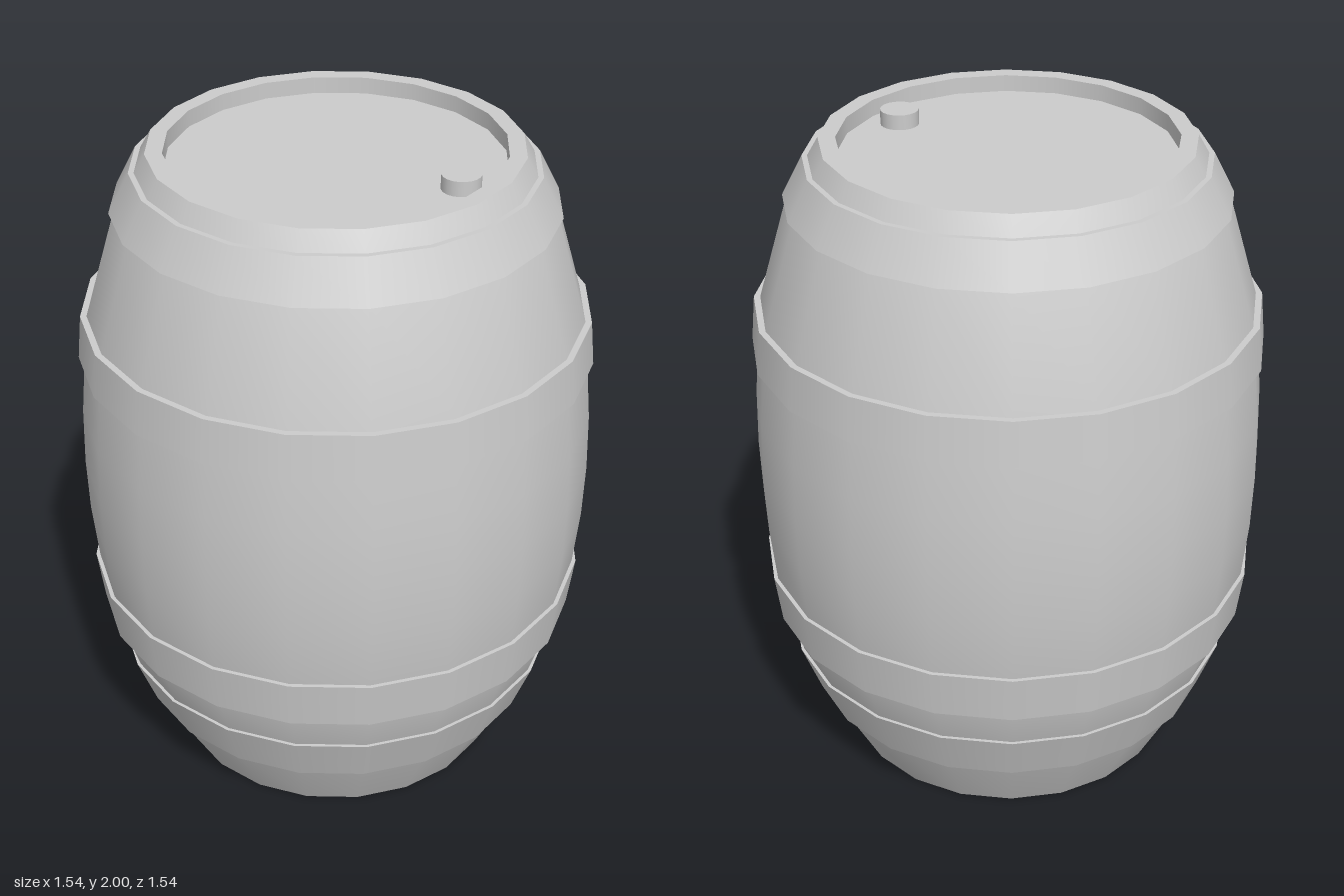
import * as THREE from 'three';
import { mergeGeometries } from 'three/addons/utils/BufferGeometryUtils.js';

const SIDES = 20;
const material = new THREE.MeshStandardMaterial({ color: 0xcccccc });

// Smooth surface of revolution through [radius, height] points, listed bottom to top
const smooth = (points) =>
  new THREE.LatheGeometry(points.map(([r, y]) => new THREE.Vector2(r, y)), SIDES);

// Same, but with a sharp edge at every point
const sharp = (points) =>
  mergeGeometries(points.slice(1).map((p, i) => smooth([points[i], p])));

export function createModel() {
  const barrel = new THREE.Group();
  barrel.name = 'barrel';

  const add = (name, geometry) => {
    const mesh = new THREE.Mesh(geometry, material);
    mesh.name = name;
    barrel.add(mesh);
    return mesh;
  };

  // Bulging staves
  add('body', smooth([
    [0.51, 0], [0.615, 0.2], [0.68, 0.365], [0.72, 0.495], [0.748, 0.65], [0.765, 0.83],
    [0.77, 1], [0.765, 1.18], [0.748, 1.365], [0.733, 1.5], [0.637, 1.825],
    [0.572, 1.945], [0.54, 2],
  ]));

  // Rims with the sunken lid and base
  add('lid', sharp([[0.54, 2], [0.49, 2], [0.49, 1.95], [0, 1.95]]));
  add('base', sharp([[0, 0.03], [0.485, 0.03], [0.485, 0], [0.51, 0]]));

  // Hoops: [bottom y, bottom radius, top y, top radius]
  const hoops = [
    [0.205, 0.63, 0.365, 0.69],
    [0.495, 0.74, 0.65, 0.76],
    [1.365, 0.765, 1.5, 0.752],
    [1.825, 0.65, 1.945, 0.588],
  ];
  for (const [y0, r0, y1, r1] of hoops) {
    add('hoop', sharp([[r0 - 0.05, y0], [r0, y0], [r1, y1], [r1 - 0.05, y1]]));
  }

  // Bung standing on the lid
  add('bung', new THREE.CylinderGeometry(0.057, 0.057, 0.045, 20)).position.set(0.39, 1.9725, 0);

  return barrel;
}
